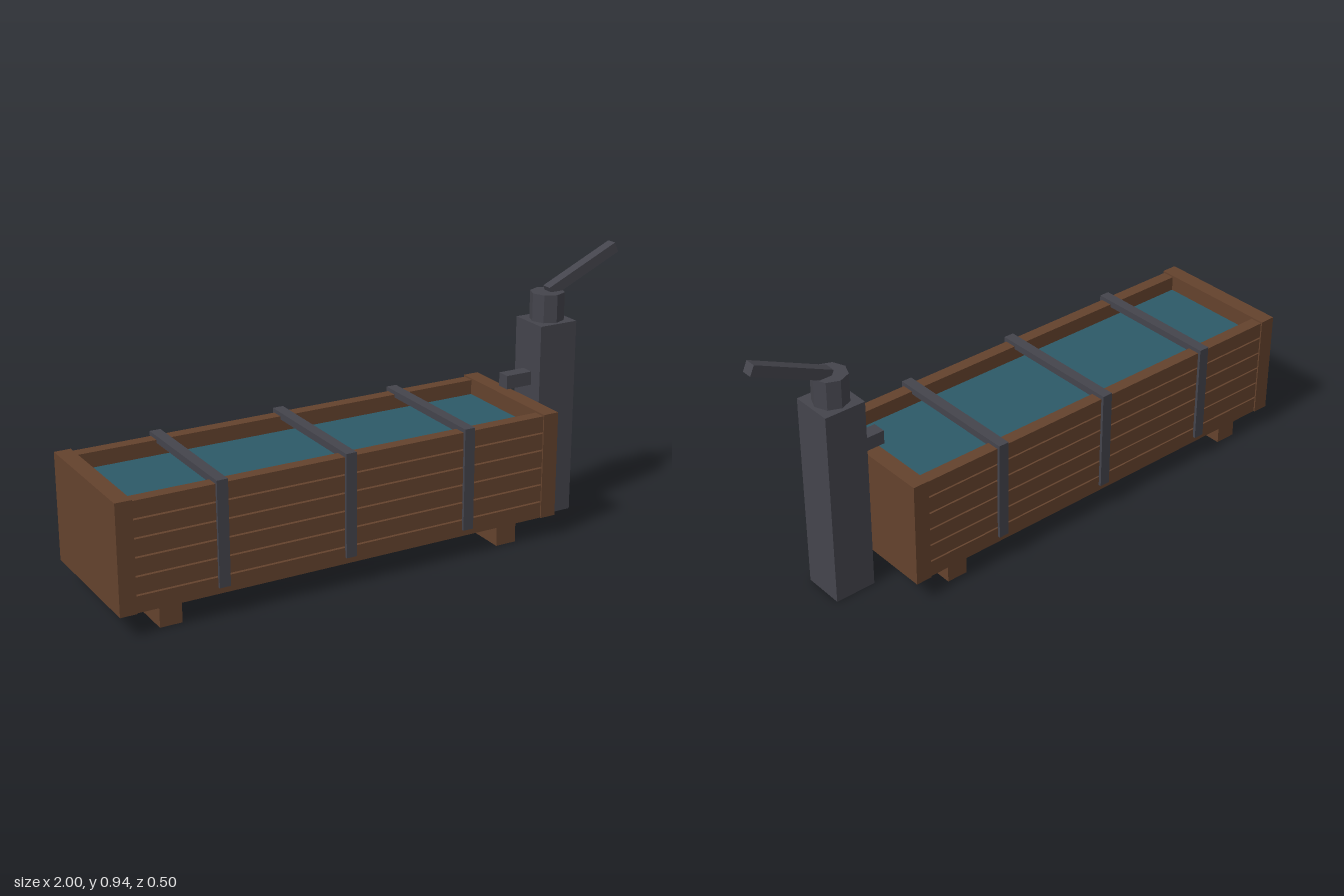
import * as THREE from 'three';

export function createModel() {
  const model = new THREE.Group();
  model.name = 'waterTrough';
  const material = (name, color) => {
    const m = new THREE.MeshStandardMaterial({ color });
    m.name = name;
    return m;
  };
  const wood = material('brownWood', 0x64422d);
  const iron = material('darkIron', 0x44444c);
  const water = material('water', 0x2d5a68);

  // Box given by its lowest and highest corners
  const box = (name, mat, [x0, y0, z0], [x1, y1, z1], parent = model) => {
    const mesh = new THREE.Mesh(new THREE.BoxGeometry(x1 - x0, y1 - y0, z1 - z0), mat);
    mesh.position.set((x0 + x1) / 2, (y0 + y1) / 2, (z0 + z1) / 2);
    mesh.name = name;
    parent.add(mesh);
    return mesh;
  };

  // Trough: floor, end boards and slatted sides with narrow gaps
  const trough = new THREE.Group();
  trough.name = 'trough';
  model.add(trough);
  box('floor', wood, [-0.945, 0.077, -0.238], [0.545, 0.1, 0.238], trough);
  box('endBoard', wood, [-1, 0.077, -0.247], [-0.943, 0.45, 0.247], trough);
  box('endBoard', wood, [0.543, 0.077, -0.247], [0.6, 0.45, 0.247], trough);
  const pitch = 0.0622;
  for (const side of [-1, 1]) {
    for (let i = 0; i < 6; i++) {
      const y = 0.077 + i * pitch;
      const plank = box('sidePlank', wood, [-0.943, y, 0.198], [0.543, y + pitch - 0.006, 0.242], trough);
      plank.position.z *= side;
    }
  }
  box('waterSurface', water, [-0.943, 0.383, -0.198], [0.543, 0.392, 0.198]);

  // Feet
  for (const x of [-0.823, 0.418]) {
    box('foot', wood, [x - 0.038, 0, -0.222], [x + 0.038, 0.077, 0.222]);
  }

  // Iron straps: two uprights joined by a bar over the top
  for (const x of [-0.65, -0.2, 0.245]) {
    const strap = new THREE.Group();
    strap.name = 'strap';
    model.add(strap);
    box('strapBar', iron, [x - 0.019, 0.434, -0.252], [x + 0.019, 0.458, 0.252], strap);
    for (const side of [-1, 1]) {
      const upright = box('strapUpright', iron, [x - 0.019, 0.1, 0.24], [x + 0.019, 0.434, 0.252], strap);
      upright.position.z *= side;
    }
  }

  // Hand pump: post, spout, octagonal cap and raised handle
  const pump = new THREE.Group();
  pump.name = 'pump';
  model.add(pump);
  box('pumpPost', iron, [0.643, 0, -0.074], [0.79, 0.697, 0.074], pump);
  box('spout', iron, [0.543, 0.475, -0.024], [0.643, 0.523, 0.024], pump);
  const capMaterial = iron.clone();
  capMaterial.flatShading = true;
  const cap = new THREE.Mesh(new THREE.CylinderGeometry(0.06, 0.06, 0.098, 8).toNonIndexed(), iron);
  cap.geometry.computeVertexNormals();
  cap.position.set(0.717, 0.746, 0);
  cap.name = 'pumpCap';
  pump.add(cap);
  const handle = box('pumpHandle', iron, [-0.15, -0.0185, -0.019], [0.15, 0.0185, 0.019], pump);
  handle.position.set(0.856, 0.857, 0);
  handle.rotation.z = 0.43;

  return model;
}
